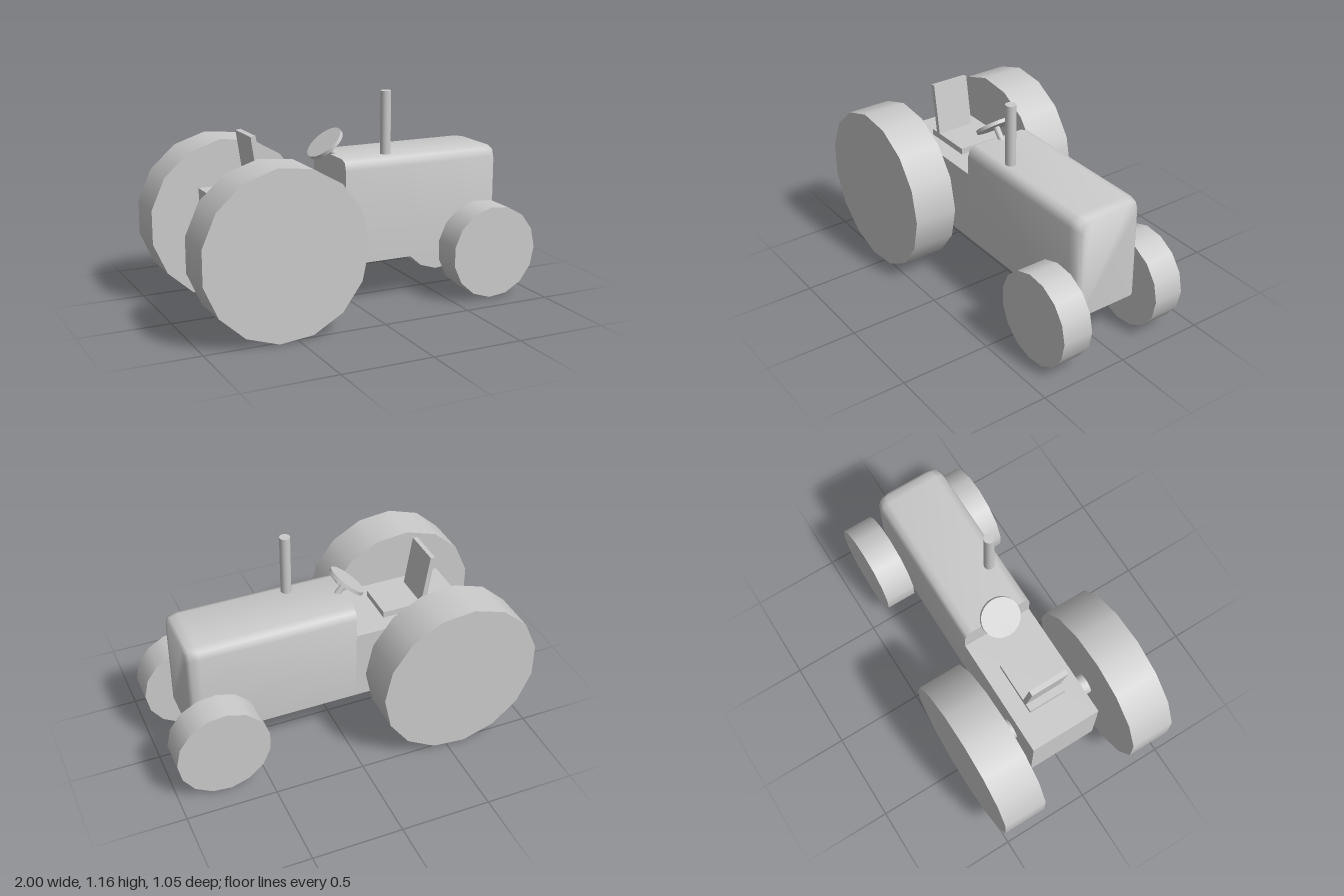
import * as THREE from 'three';
import { toCreasedNormals } from 'three/addons/utils/BufferGeometryUtils.js';

const material = new THREE.MeshStandardMaterial({ color: 0xcccccc });

function add(parent, name, geometry, x = 0, y = 0, z = 0) {
  const mesh = new THREE.Mesh(geometry, material);
  mesh.name = name;
  mesh.position.set(x, y, z);
  parent.add(mesh);
  return mesh;
}

// Cylinder lying along z, with one corner of its outline pointing to +x
function zCylinder(radius, length, sides) {
  return new THREE.CylinderGeometry(radius, radius, length, sides)
    .rotateY(Math.PI / 2).rotateX(Math.PI / 2);
}

// Hood: an arched section lofted along x, drawn in at the nose
function hoodGeometry() {
  const half = [[0.202, 0.25], [0.202, 0.765], [0.188, 0.808], [0.15, 0.822]];
  const section = [...half, ...half.map(([z, y]) => [-z, y]).reverse()];
  const stations = [[-0.085, 0], [0.785, 0], [0.832, 0.01], [0.85, 0.032]];
  const n = section.length;
  const positions = [];
  const index = [];
  for (const [x, inset] of stations) {
    for (const [z, y] of section) {
      positions.push(x, y > 0.3 ? y - inset * 0.6 : y, z - Math.sign(z) * inset);
    }
  }
  for (let i = 0; i < stations.length - 1; i++) {
    for (let j = 0; j < n; j++) {
      const a = i * n + j, b = i * n + (j + 1) % n;
      index.push(a, a + n, b, b, a + n, b + n);
    }
  }
  const last = (stations.length - 1) * n;
  for (let j = 1; j < n - 1; j++) {
    index.push(0, j, j + 1);
    index.push(last, last + j + 1, last + j);
  }
  const geometry = new THREE.BufferGeometry();
  geometry.setAttribute('position', new THREE.Float32BufferAttribute(positions, 3));
  geometry.setIndex(index);
  return toCreasedNormals(geometry, 1.05);
}

export function createModel() {
  const tractor = new THREE.Group();
  tractor.name = 'tractor';

  // Body
  add(tractor, 'hood', hoodGeometry());
  add(tractor, 'rearBody', new THREE.BoxGeometry(0.675, 0.41, 0.404), -0.4225, 0.455, 0);
  add(tractor, 'exhaustPipe', new THREE.CylinderGeometry(0.029, 0.029, 0.385, 16), 0.19, 0.9725, 0.12);

  // Axles and wheels
  add(tractor, 'rearAxle', zCylinder(0.058, 0.6, 20), -0.55, 0.45, 0);
  add(tractor, 'frontAxle', zCylinder(0.05, 0.5, 16), 0.737, 0.267, 0);
  for (const [side, sign] of [['left', 1], ['right', -1]]) {
    add(tractor, side + 'RearWheel', zCylinder(0.451, 0.246, 15), -0.559, 0.45, sign * 0.4);
    add(tractor, side + 'FrontWheel', zCylinder(0.258, 0.173, 15), 0.738, 0.267, sign * 0.296);
  }

  // Seat
  const seat = new THREE.Group();
  seat.name = 'seat';
  tractor.add(seat);
  add(seat, 'seatPan', new THREE.BoxGeometry(0.295, 0.035, 0.216), -0.4325, 0.678, 0);
  const back = add(seat, 'seatBack', new THREE.BoxGeometry(0.028, 0.295, 0.216), -0.544, 0.832, 0);
  back.rotation.z = 0.15;

  // Steering wheel on its sloping column
  const steering = new THREE.Group();
  steering.name = 'steering';
  steering.position.set(-0.112, 0.882, 0);
  steering.rotation.z = 0.69;
  tractor.add(steering);
  add(steering, 'steeringWheel', new THREE.CylinderGeometry(0.11, 0.11, 0.02, 32));
  add(steering, 'steeringColumn', new THREE.CylinderGeometry(0.017, 0.017, 0.12, 12), 0, -0.06, 0);

  return tractor;
}
